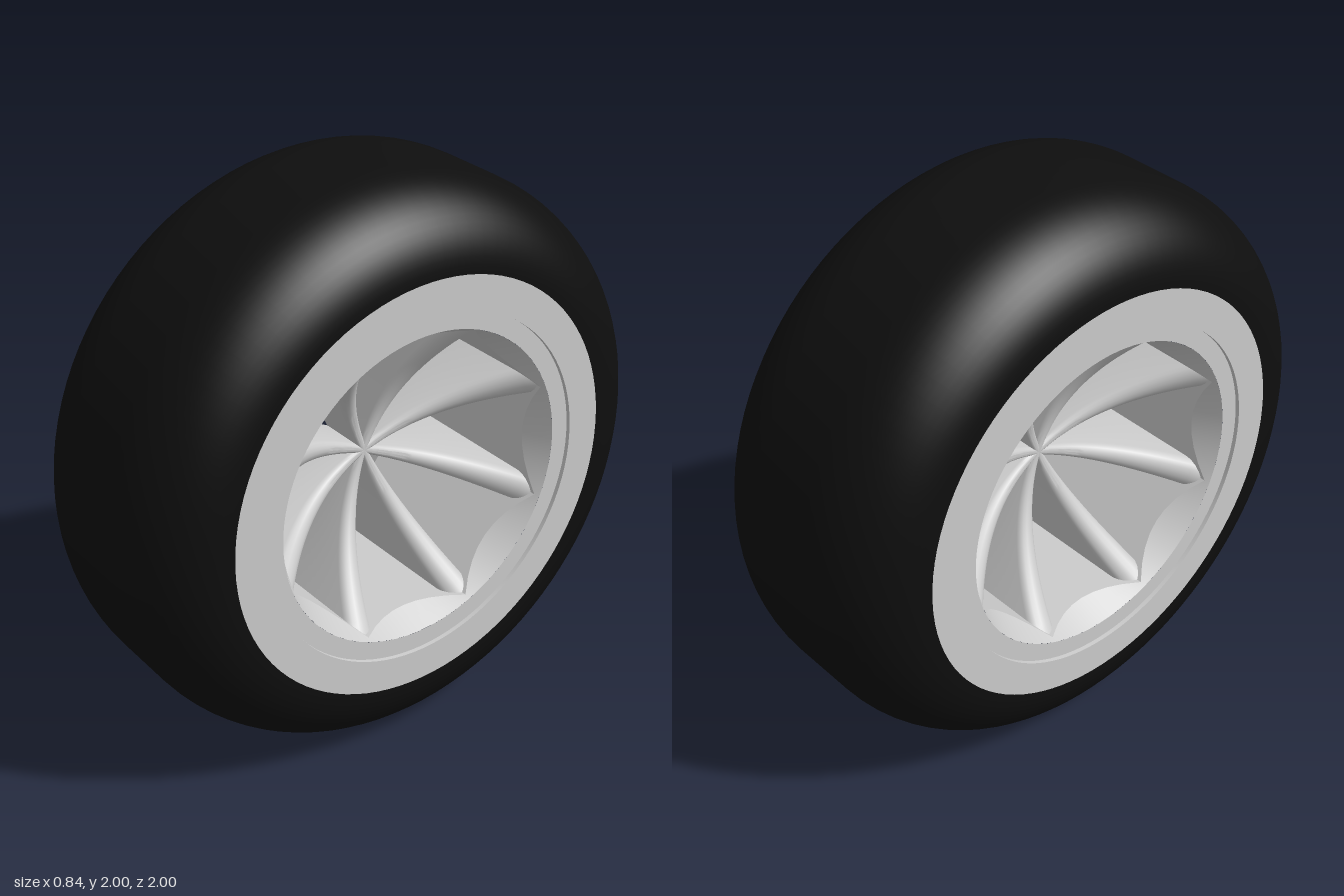
import * as THREE from 'three';
import { toCreasedNormals } from 'three/addons/utils/BufferGeometryUtils.js';

const HALF = 0.42;            // half width of the wheel
const LIP = 0.405;            // recessed inner ring
const APOTHEM = 0.5;          // octagonal bore
const OPENING = 0.55;

// Surface through a grid of points fn(i, j)
function loft(fn, nu, nv, crease) {
  const pos = [], idx = [];
  for (let i = 0; i <= nu; i++) for (let j = 0; j <= nv; j++) pos.push(...fn(i, j));
  for (let i = 0; i < nu; i++) {
    for (let j = 0; j < nv; j++) {
      const a = i * (nv + 1) + j, b = a + nv + 1;
      idx.push(a, b, a + 1, b, b + 1, a + 1);
    }
  }
  const g = new THREE.BufferGeometry();
  g.setAttribute('position', new THREE.Float32BufferAttribute(pos, 3));
  g.setIndex(idx);
  return toCreasedNormals(g, crease);
}

// Revolve [radius, x] points about the x axis
function revolve(points, crease) {
  const g = new THREE.LatheGeometry(points.map(p => new THREE.Vector2(p[0], p[1])), 96);
  g.rotateZ(-Math.PI / 2);
  return toCreasedNormals(g, crease);
}

export function createModel() {
  const rubber = new THREE.MeshStandardMaterial({ color: 0x0e0e0e });
  rubber.name = 'black rubber';
  const metal = new THREE.MeshStandardMaterial({ color: 0xcccccc });
  metal.name = 'silver metal';

  const model = new THREE.Group();
  model.name = 'wheel';
  const wheel = new THREE.Group();
  wheel.name = 'wheelAssembly';
  wheel.position.y = 1;
  model.add(wheel);
  const add = (name, geometry, material) => {
    const m = new THREE.Mesh(geometry, material);
    m.name = name;
    wheel.add(m);
    return m;
  };

  // Tyre: flat tread with elliptical shoulders
  const shoulder = [];
  for (let k = 0; k <= 16; k++) {
    const a = (k / 16) * Math.PI / 2;
    shoulder.push([0.74 + 0.26 * Math.cos(a), 0.12 + (HALF - 0.12) * Math.sin(a)]);
  }
  shoulder.push([0.735, HALF]);
  const lower = shoulder.map(([r, x]) => [r, -x]).reverse();
  add('tyre', revolve([...lower, ...shoulder], 0.6), rubber);

  // Flat rim flange with a slightly recessed inner ring, on both sides
  const flange = revolve([[0.735, HALF], [0.615, HALF], [0.615, LIP], [OPENING, LIP]], 0.5);
  add('leftFlange', flange, metal);
  add('rightFlange', flange, metal).rotation.y = Math.PI;

  // Bore: octagonal inside, flaring to round openings in scallops
  const perSide = 8, around = 8 * perSide, deep = 0.31;
  const rows = [0, 0.5, 1];
  add('rimBore', loft((i, j) => {
    const t = (i / around) * Math.PI * 2;
    const off = ((i % perSide) / perSide) * Math.PI / 4;
    const rOct = APOTHEM / Math.cos(off - Math.PI / 8);
    const xOct = deep + (LIP - deep) * (rOct - APOTHEM) / (OPENING - APOTHEM);
    const s = rows[j < 3 ? j : 5 - j];
    const x = (j < 3 ? 1 : -1) * (LIP + (xOct - LIP) * s);
    const r = OPENING + (rOct - OPENING) * s;
    const angle = t + Math.PI / 8;
    return [x, r * Math.cos(angle), r * Math.sin(angle)];
  }, around, 5, 0.3), metal);

  // Spoke: tapered web with dished, rounded edges on both sides
  const arc = 8, ring = 2 * (arc + 1), steps = 20;
  const spoke = loft((i, j) => {
    const r = 0.54 * i / steps;
    const w = 0.014 + 0.038 * i / steps;
    const depth = 0.09 + 0.27 * (r / 0.53) ** 2;
    const k = j % ring, front = k <= arc;
    const a = front ? Math.PI * (1 - k / arc) : -Math.PI * (k - arc - 1) / arc;
    return [(front ? 1 : -1) * (depth - w) + w * Math.sin(a), r, w * Math.cos(a)];
  }, steps, ring, 0.5);
  for (let k = 0; k < 8; k++) {
    add('spoke' + (k + 1), spoke, metal).rotation.x = (k + 0.5) * Math.PI / 4;
  }

  return model;
}
